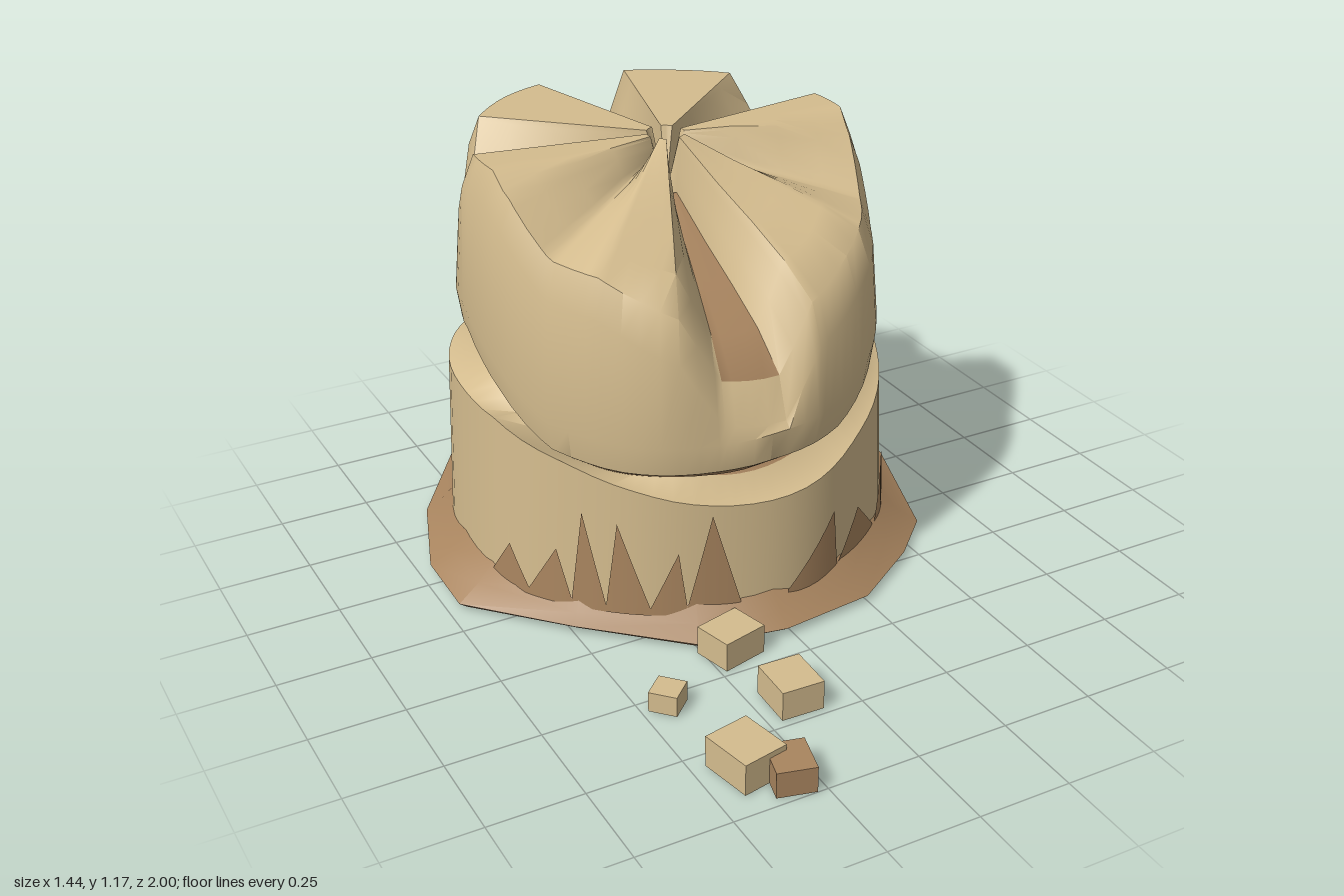
import * as THREE from 'three';
import { toCreasedNormals } from 'three/addons/utils/BufferGeometryUtils.js';

const sand = new THREE.MeshStandardMaterial({ color: 0xd4bc8e });
sand.name = 'drySand';
const wet = new THREE.MeshStandardMaterial({ color: 0xa9855f });
wet.name = 'wetSand';
const CX = -0.02, CZ = -0.265, UPPER_Z = -0.245, RAD = Math.PI / 180;

// Piecewise linear lookup in a short table of [input, output]
function lookup(table, v) {
  if (v <= table[0][0]) return table[0][1];
  for (let i = 1; i < table.length; i++) {
    const [a, ya] = table[i - 1], [b, yb] = table[i];
    if (v <= b) return ya + (yb - ya) * (v - a) / (b - a);
  }
  return table[table.length - 1][1];
}

// Surface through closed rings, bottom to top; point(i, deg) gives [x, y, z]
function shell(name, ringCount, angles, point, isWet, crease) {
  const pos = [], dry = [], damp = [], n = angles.length;
  for (let i = 0; i < ringCount; i++) for (const a of angles) pos.push(...point(i, a));
  for (let i = 0; i < ringCount - 1; i++) {
    for (let j = 0; j < n; j++) {
      const k = (j + 1) % n;
      const a = i * n + j, b = i * n + k, c = b + n, d = a + n;
      const next = angles[k] < angles[j] ? angles[k] + 360 : angles[k];
      (isWet(i, (angles[j] + next) / 2) ? damp : dry).push(a, b, c, a, c, d);
    }
  }
  let g = new THREE.BufferGeometry();
  g.setAttribute('position', new THREE.Float32BufferAttribute(pos, 3));
  g.setIndex([...dry, ...damp]);
  g = toCreasedNormals(g, crease);
  g.clearGroups();
  g.addGroup(0, dry.length, 0);
  g.addGroup(dry.length, damp.length, 1);
  const mesh = new THREE.Mesh(g, [sand, wet]);
  mesh.name = name;
  return mesh;
}

const around = [];
for (let a = -180; a < 180; a += 5) around.push(a);
const lump = deg => 1 + 0.006 * Math.sin(deg * RAD * 5 + 1) + 0.005 * Math.sin(deg * RAD * 9);
const polar = (r, deg, y, cz = CZ, stretch = 1) =>
  [CX + r * Math.sin(deg * RAD), y, cz + r * stretch * Math.cos(deg * RAD)];

// Height of the break between the drums, dropping to the front and to the model's right
const footTable = [[-0.85, 0.69], [-0.1, 0.685], [0.1, 0.585], [0.24, 0.49], [0.33, 0.47]];
function footHeight(deg) {
  const [x, , z] = polar(0.56, deg, 0);
  return lookup(footTable, z + 0.25 * Math.max(0, -x / 0.55));
}

// Lower drum
const lowerRim = [[-0.87, 0.53], [-0.6, 0.555], [-0.1, 0.54], [0.1, 0.48], [0.24, 0.42], [0.34, 0.36]];
const wallRadius = (y, deg) => (0.602 - 0.035 * (y - 0.1)) * lump(deg);

function lowerPoint(i, deg) {
  const rim = lookup(lowerRim, polar(0.6, deg, 0)[2]);
  if (i === 0) return polar(wallRadius(0.05, deg), deg, 0.05);
  if (i === 1) return polar(wallRadius(rim, deg), deg, rim);
  if (i === 2) return polar(0.5, deg, Math.min(rim + 0.04, footHeight(deg) - 0.04));
  return polar(0.485, deg, footHeight(deg) - 0.02);
}

// Damp spike painted on the drum wall
function spike([from, peak, to, height]) {
  const pos = [], index = [], n = 10;
  for (let i = 0; i <= n; i++) {
    const t = i / n * 2 - 1;
    const deg = t < 0 ? peak + (peak - from) * t : peak + (to - peak) * t;
    for (const y of [0.07, 0.09 + (height - 0.09) * (1 - Math.abs(t))])
      pos.push(...polar(wallRadius(y, deg) + 0.006, deg, y));
    if (i < n) {
      const a = i * 2;
      index.push(a, a + 2, a + 3, a, a + 3, a + 1);
    }
  }
  const g = new THREE.BufferGeometry();
  g.setAttribute('position', new THREE.Float32BufferAttribute(pos, 3));
  g.setIndex(index);
  g.computeVertexNormals();
  const mesh = new THREE.Mesh(g, wet);
  mesh.name = 'dampSpike';
  return mesh;
}

// Notched, slumped upper drum: [angle, half width, edge width, depth]
const notches = [
  [-4, 9, 12, 0.15], [180, 9, 6, 0.15],
  [115, 6, 10, 0.14], [-115, 6, 10, 0.14],
  [62, 1, 14, 0.05], [-62, 1, 14, 0.05],
];
const crown = [[-0.8, 1.17], [-0.18, 1.17], [-0.16, 1.135], [0, 1.05], [0.2, 0.92], [0.32, 0.8]];
const offset = (deg, mid) => Math.abs(((deg - mid + 540) % 360) - 180);

function crownHeight(z, deg) {
  let y = lookup(crown, z);
  for (const [mid, half, edge, depth] of notches)
    y -= depth * THREE.MathUtils.clamp(1 - (offset(deg, mid) - half) / edge, 0, 1);
  return y;
}

const upperAngles = [...around];
for (const [mid, half, edge] of notches)
  for (const s of [-1, 1])
    for (const d of [half, half + edge])
      upperAngles.push(((mid + s * d + 540) % 360) - 180);
const sortedAngles = [...new Set(upperAngles)].sort((a, b) => a - b);

// The underside slopes down and inward to the neck; the wall leans in slightly
const upperRadii = [0.485, 0.542, 0.553, 0.537, 0.505, 0.41, 0.3, 0.18, 0.05, 0];
function upperPoint(i, deg) {
  const r = upperRadii[i] * (i > 0 && i < 5 ? lump(deg + 40) : 1);
  const p = polar(r, deg, 0, UPPER_Z, 1.05);
  const foot = footHeight(deg);
  const top = i === 9 ? 1.0 : crownHeight(p[2], deg);
  p[1] = [foot - 0.04, foot, foot + 0.08, top - 0.08][i] ?? top;
  return p;
}
const notchFloor = (i, deg) =>
  i === 0 || (i >= 4 && (offset(deg, -4) < 9 || offset(deg, 180) < 9));

// Uneven skirt of damp sand, outline as [x, z] from back to front along +x
const outline = [
  [-0.18, -1], [-0.43, -0.88], [-0.62, -0.6], [-0.72, -0.31], [-0.72, -0.1], [-0.5, 0.15],
  [-0.25, 0.37], [-0.02, 0.42], [0.25, 0.38], [0.45, 0.25], [0.58, 0.12], [0.7, -0.26],
  [0.72, -0.4], [0.62, -0.66], [0.43, -0.87], [0.18, -0.99],
];
const skirtAngles = outline.map(([x, z]) => Math.atan2(x - CX, z - CZ) / RAD);
function skirtPoint(i, deg) {
  const k = skirtAngles.indexOf(deg), [x, z] = outline[k];
  const r = Math.hypot(x - CX, z - CZ);
  if (i === 0) return polar(0, deg, 0.008);
  if (i === 1) return polar(r * 0.97, deg, 0.003 + 0.008 * (k % 2));
  if (i === 2) return polar(r, deg, 0.02 + 0.006 * (k % 2));
  if (i === 3) return polar(0.61 + (r - 0.61) * 0.4, deg, 0.06);
  return polar(0.593, deg, 0.115);
}

export function createModel() {
  const model = new THREE.Group();
  model.name = 'sandTower';
  model.add(shell('skirt', 5, skirtAngles, skirtPoint, () => true, 0.7));
  model.add(shell('lowerDrum', 4, around, lowerPoint, (i, a) => i === 2 && offset(a, 0) < 22, 1));
  model.add(shell('upperDrum', upperRadii.length, sortedAngles, upperPoint, notchFloor, 0.8));

  // Spikes: start, peak and end angle, height
  const spikes = [
    [-76, -69, -63, 0.2], [-63, -55, -51, 0.23], [-51, -48, -42, 0.35], [-42, -39, -31, 0.33],
    [-31, -24, -22, 0.25], [-22, -15.5, -8.6, 0.35], [4, 20, 21, 0.26], [21, 32, 43, 0.21],
    [43, 54, 70, 0.27], [78, 98, 107, 0.28], [129, 136, 143, 0.23], [170, 186, 203, 0.29],
  ];
  for (const s of spikes) model.add(spike(s));

  // Fallen crumbs: x, z, width, height, depth, turn, colour
  const crumbs = [
    [-0.185, 0.415, 0.13, 0.08, 0.11, 0.25, sand], [-0.43, 0.54, 0.075, 0.055, 0.075, 0.75, sand],
    [-0.155, 0.665, 0.115, 0.08, 0.13, -0.03, sand], [-0.385, 0.85, 0.125, 0.085, 0.145, 0.2, sand],
    [-0.312, 0.932, 0.1, 0.07, 0.115, -0.25, wet],
  ];
  for (const [x, z, w, h, d, turn, colour] of crumbs) {
    const crumb = new THREE.Mesh(new THREE.BoxGeometry(w, h, d), colour);
    crumb.name = 'crumb';
    crumb.position.set(x, h / 2 + 0.004, z);
    crumb.rotation.y = turn;
    model.add(crumb);
  }
  return model;
}
